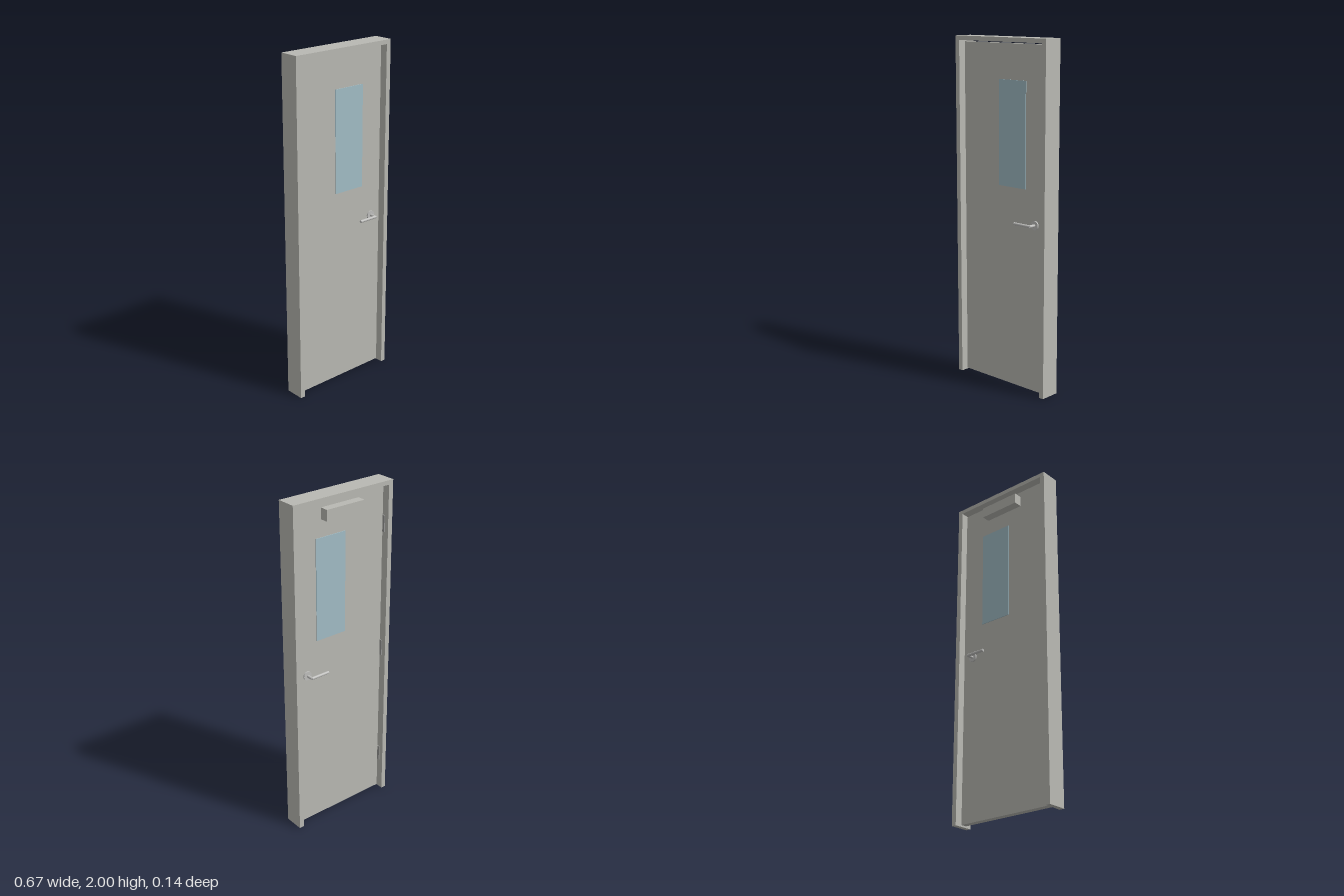
import * as THREE from 'three';

const material = (name, color) => {
  const m = new THREE.MeshStandardMaterial({ color });
  m.name = name;
  return m;
};

export function createModel() {
  const door = new THREE.Group();
  door.name = 'door';
  const steel = material('painted steel', 0xb9b9b3);
  const glass = material('pale blue glass', 0xa2bdc6);
  const metal = material('handle metal', 0xbfbfbd);
  const hingeGrey = material('hinge grey', 0x979795);

  const add = (name, geometry, mat, parent = door) => {
    const mesh = new THREE.Mesh(geometry, mat);
    mesh.name = name;
    parent.add(mesh);
    return mesh;
  };
  // Box given by its low and high corners
  const box = (name, mat, [x0, y0, z0], [x1, y1, z1]) => add(name,
    new THREE.BoxGeometry(x1 - x0, y1 - y0, z1 - z0)
      .translate((x0 + x1) / 2, (y0 + y1) / 2, (z0 + z1) / 2), mat);

  // Frame: one upside-down U extruded through the wall depth
  const W = 0.337, IN = 0.308, zBack = -0.06, zFront = 0.057;
  const outline = new THREE.Shape([
    [-W, 0], [-IN, 0], [-IN, 1.975], [IN, 1.975], [IN, 0], [W, 0], [W, 2], [-W, 2],
  ].map(([x, y]) => new THREE.Vector2(x, y)));
  add('frame', new THREE.ExtrudeGeometry(outline, { depth: zFront - zBack, bevelEnabled: false })
    .translate(0, 0, zBack), steel);

  // Leaf, with a small gap to the frame, and the glass standing slightly proud
  const leafBack = -0.02, leafFront = 0.017;
  box('leaf', steel, [-0.303, 0.008, leafBack], [0.303, 1.967, leafFront]);
  box('window', glass, [-0.035, 1.175, leafBack - 0.004], [0.165, 1.77, leafFront + 0.004]);

  // Closer box on the back
  box('closer', steel, [-0.127, 1.87, -0.07], [0.127, 1.934, leafBack]);

  // Hinges along the back of the right edge
  for (const y of [0.2, 0.935, 1.7]) {
    box('hinge', hingeGrey, [-0.308, y, -0.035], [-0.302, y + 0.096, 0.005]);
  }

  // Lever handles on both faces, built outwards along +z and mirrored by a turn
  for (const side of [1, -1]) {
    const handle = new THREE.Group();
    handle.name = side > 0 ? 'frontHandle' : 'backHandle';
    handle.position.set(0.235, 0.982, side > 0 ? leafFront : leafBack);
    if (side < 0) handle.rotation.y = Math.PI;
    door.add(handle);
    const rod = (name, r, length) => add(name, new THREE.CylinderGeometry(r, r, length, 24), metal, handle);
    const rose = rod('rose', 0.026, 0.008);
    rose.rotation.x = Math.PI / 2;
    rose.position.z = 0.004;
    const shank = rod('shank', 0.008, 0.049);
    shank.rotation.x = Math.PI / 2;
    shank.position.z = 0.0245;
    const lever = rod('lever', 0.008, 0.118);
    lever.rotation.z = Math.PI / 2;
    lever.position.set(-0.057 * side, 0, 0.045);
  }
  return door;
}
